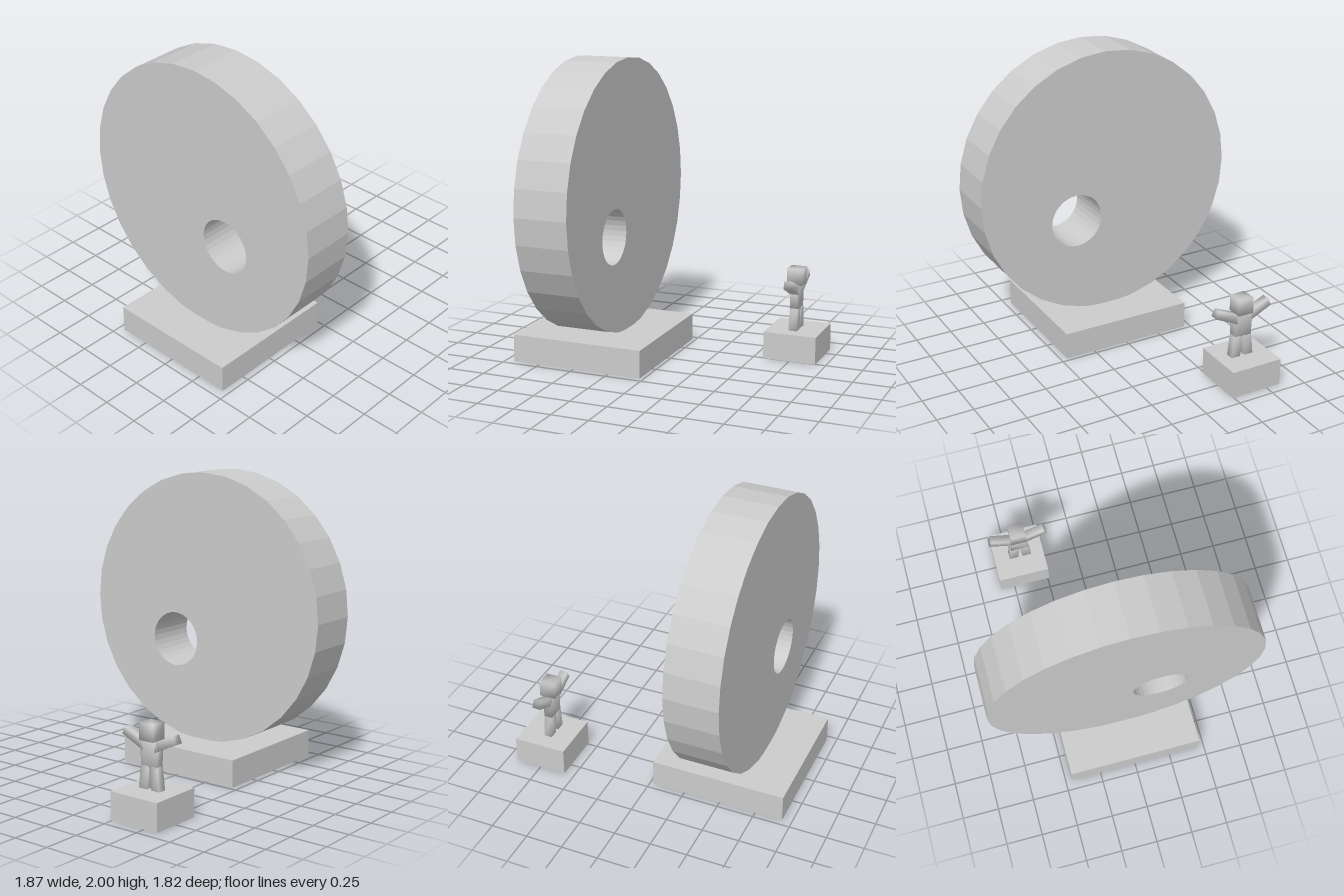
import * as THREE from 'three';
import { mergeVertices } from 'three/addons/utils/BufferGeometryUtils.js';

const material = new THREE.MeshStandardMaterial({ color: 0xcccccc });

function add(group, name, geometry) {
  const mesh = new THREE.Mesh(geometry, material);
  mesh.name = name;
  group.add(mesh);
  return mesh;
}

// Extrudes a side profile (horizontal axis = -z, vertical = y) from x0 to x1.
function extrudeAlongX(shape, x0, x1) {
  const geometry = new THREE.ExtrudeGeometry(shape, { depth: x1 - x0, bevelEnabled: false, curveSegments: 16 });
  return geometry.rotateY(Math.PI / 2).translate(x0, 0, 0);
}

// Body part with normals shared across its corners.
function softPrism(points, x0, x1) {
  const shape = new THREE.Shape(points.map(([u, y]) => new THREE.Vector2(u, y)));
  let geometry = extrudeAlongX(shape, x0, x1);
  geometry.deleteAttribute('normal');
  geometry.deleteAttribute('uv');
  geometry = mergeVertices(geometry);
  geometry.computeVertexNormals();
  return geometry;
}

export function createModel() {
  const model = new THREE.Group();
  model.name = 'stoneDiscAndFigure';
  const baseHeight = 0.185;

  // Plinths
  add(model, 'discBase', new THREE.BoxGeometry(0.91, baseHeight, 0.915)).position.set(-0.48, baseHeight / 2, 0);
  add(model, 'figureBase', new THREE.BoxGeometry(0.36, baseHeight, 0.36)).position.set(0.75, baseHeight / 2, -0.42);

  // Upright disc with an off-centre hole
  const disc = new THREE.Shape();
  disc.absarc(0, 1.089, 0.911, 0, Math.PI * 2);
  const hole = new THREE.Path();
  hole.absarc(-0.228, 0.854, 0.184, 0, Math.PI * 2);
  disc.holes.push(hole);
  add(model, 'disc', extrudeAlongX(disc, -0.66, -0.30));

  // Small figure with raised arms
  const figure = new THREE.Group();
  figure.name = 'figure';
  figure.position.set(0.743, 0, -0.41);
  model.add(figure);
  const half = 0.028;

  add(figure, 'head', softPrism([[-0.054, 0.495], [0.054, 0.495], [0.054, 0.604], [-0.054, 0.604]], -0.054, 0.054));
  add(figure, 'torso', softPrism(
    [[-0.06, 0.33], [0.06, 0.33], [0.065, 0.43], [0.052, 0.498], [-0.052, 0.498], [-0.065, 0.43]], -half, half));

  for (const [side, s] of [['front', -1], ['back', 1]]) {
    const mirrored = (points) => {
      const p = points.map(([u, y]) => [u * s, y]);
      return s < 0 ? p.reverse() : p;
    };
    add(figure, side + 'Arm', softPrism(
      mirrored([[0.045, 0.425], [0.208, 0.503], [0.186, 0.553], [0.045, 0.492]]), -half, half));
    add(figure, side + 'Leg', softPrism(
      mirrored([[0.016, 0.183], [0.08, 0.183], [0.063, 0.335], [0.001, 0.335]]), -half, half));
  }
  return model;
}
